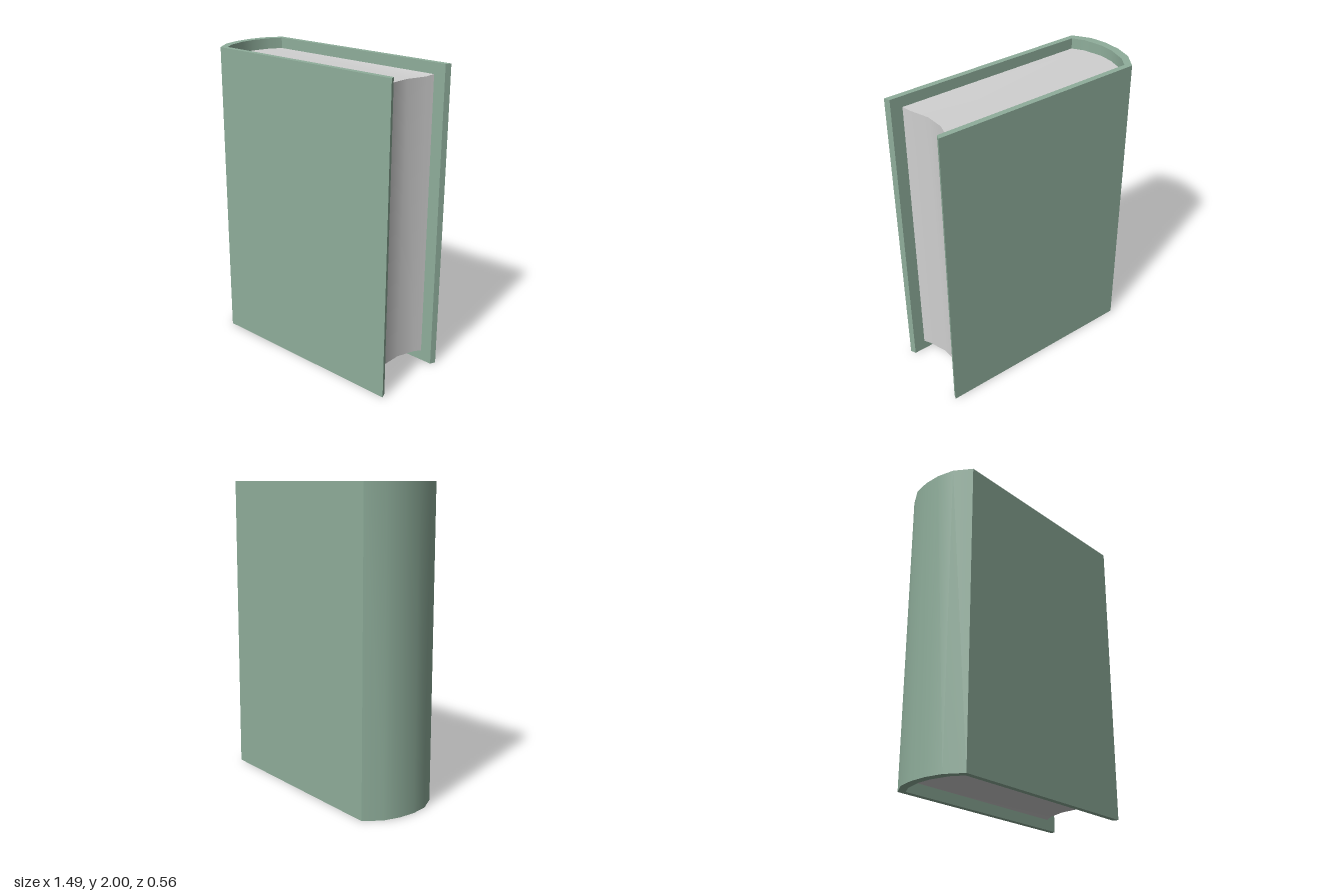
import * as THREE from 'three';
import { toCreasedNormals } from 'three/addons/utils/BufferGeometryUtils.js';

// Mirror a half outline of [x, z] points across z = 0.
const mirror = (half) => [...half].reverse().map(([x, z]) => [x, -z]);

// Extrude a plan outline upward from y0 to y1.
function prism(points, y0, y1) {
  const shape = new THREE.Shape(points.map(([x, z]) => new THREE.Vector2(x, -z)));
  const geometry = new THREE.ExtrudeGeometry(shape, { depth: y1 - y0, bevelEnabled: false });
  return geometry.rotateX(-Math.PI / 2).translate(0, y0, 0);
}

function addPart(group, name, geometry, material) {
  const mesh = new THREE.Mesh(toCreasedNormals(geometry, THREE.MathUtils.degToRad(40)), material);
  mesh.name = name;
  group.add(mesh);
}

export function createModel() {
  const book = new THREE.Group();
  book.name = 'book';

  const coverGreen = new THREE.MeshStandardMaterial({ name: 'cover green', color: 0x8fae9b });
  const pageGrey = new THREE.MeshStandardMaterial({ name: 'page grey', color: 0xd0d0d0 });

  // Cover: two boards joined by a rounded spine, of even thickness
  const outer = [[0.745, 0.278], [-0.65, 0.278], [-0.722, 0.168], [-0.747, 0.056]];
  const inner = [[0.73, 0.242], [-0.62, 0.242], [-0.667, 0.167], [-0.696, 0.045]];
  const innerLoop = [...inner, ...mirror(inner)].reverse();
  addPart(book, 'cover', prism([...outer, ...mirror(outer), ...innerLoop], 0, 2), coverGreen);

  // Page block: rounded at the spine, hollowed at the fore edge
  const spineSide = inner.slice(1);
  const foreEdge = [[0.592, 0.063], [0.632, 0.19], [0.652, 0.242]];
  const half = [...foreEdge, ...spineSide];
  const pages = prism([...half, ...mirror(half)], 0.07, 1.93);

  // The hollow of the fore edge dips slightly at top and bottom
  const pos = pages.attributes.position;
  for (let i = 0; i < pos.count; i++) {
    if (pos.getX(i) > 0.5 && Math.abs(pos.getZ(i)) < 0.2) {
      pos.setY(i, pos.getY(i) > 1 ? 1.921 : 0.079);
    }
  }
  addPart(book, 'pages', pages, pageGrey);

  return book;
}
